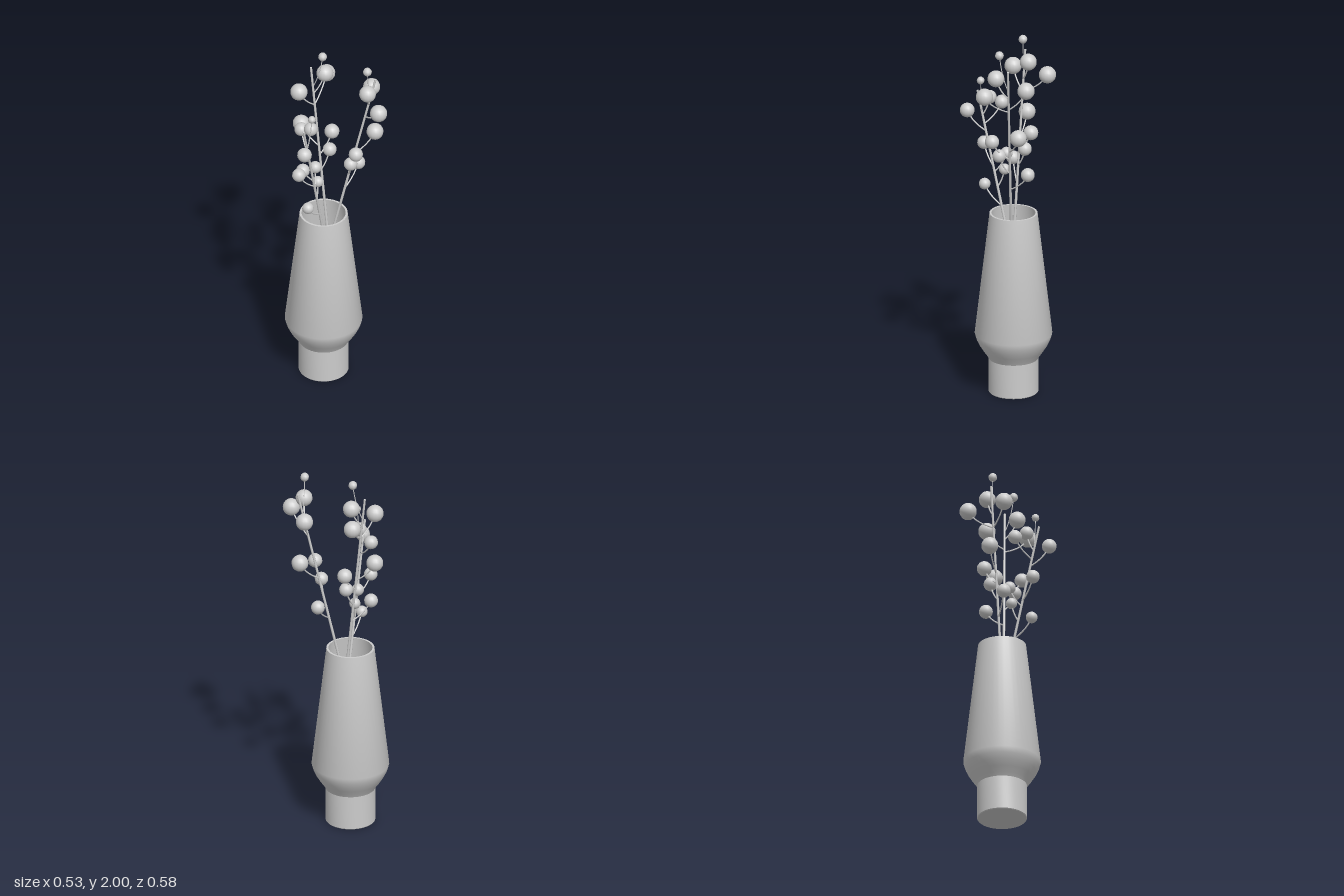
import * as THREE from 'three';
import { toCreasedNormals } from 'three/addons/utils/BufferGeometryUtils.js';

const material = new THREE.MeshStandardMaterial({ color: 0xcccccc });
const up = new THREE.Vector3(0, 1, 0);
const V = (p) => new THREE.Vector3(...p);

function add(parent, name, geometry) {
  const mesh = new THREE.Mesh(geometry, material);
  mesh.name = name;
  parent.add(mesh);
  return mesh;
}

// Each branch: straight stem from foot to tip, and berries as [x, y, z, radius].
const branches = [
  {
    name: 'leftBranch', foot: [0.14, 0.29, -0.075], tip: [-0.19, 1.66, -0.055],
    berries: [
      [-0.118, 1.635, -0.064, 0.037], [-0.097, 1.587, -0.145, 0.037], [-0.23, 1.55, -0.018, 0.039],
      [-0.178, 1.355, -0.097, 0.036], [-0.035, 1.325, -0.1, 0.033], [-0.035, 1.24, -0.082, 0.03],
      [-0.147, 1.14, -0.06, 0.031],
    ],
    bud: [-0.152, 1.73, -0.03, 0.021],
  },
  {
    name: 'backBranch', foot: [0.036, 0.23, 0], tip: [0.03, 1.9, -0.18],
    berries: [
      [0.085, 1.855, -0.13, 0.045], [-0.057, 1.785, -0.192, 0.046], [0.17, 1.785, -0.185, 0.046],
      [0.008, 1.53, -0.228, 0.045], [0.117, 1.47, -0.108, 0.04], [0.085, 1.375, -0.098, 0.037],
      [-0.045, 1.275, -0.175, 0.037],
    ],
    bud: [0.056, 1.98, -0.122, 0.024],
  },
  {
    name: 'frontBranch', foot: [-0.037, 0.25, -0.168], tip: [0.155, 1.9, 0.155],
    berries: [
      [0.081, 1.85, 0.16, 0.045], [0.067, 1.77, 0.245, 0.046], [0.218, 1.785, 0.079, 0.046],
      [0.196, 1.525, 0.119, 0.045], [0.029, 1.47, 0.122, 0.038], [0.043, 1.38, 0.076, 0.036],
      [0.185, 1.285, 0.016, 0.037],
    ],
    bud: [0.095, 1.98, 0.148, 0.024],
  },
];

// Point on a stem at height y
function stemPoint(foot, tip, y) {
  return foot.clone().lerp(tip, (y - foot.y) / (tip.y - foot.y));
}

// Thin twig that leaves the stem sideways, then bends up into the berry
function twig(start, end, radius) {
  const bend = new THREE.Vector3(
    THREE.MathUtils.lerp(start.x, end.x, 0.75),
    THREE.MathUtils.lerp(start.y, end.y, 0.4),
    THREE.MathUtils.lerp(start.z, end.z, 0.75));
  return new THREE.TubeGeometry(new THREE.QuadraticBezierCurve3(start, bend, end), 8, radius, 6);
}

function makeBranch({ name, foot, tip, berries, bud }) {
  const branch = new THREE.Group();
  branch.name = name;
  const a = V(foot), b = V(tip);
  const stem = add(branch, 'stem', new THREE.CylinderGeometry(0.006, 0.008, a.distanceTo(b), 8));
  stem.position.copy(a).lerp(b, 0.5);
  stem.quaternion.setFromUnitVectors(up, b.clone().sub(a).normalize());

  for (const [x, y, z, r] of berries) {
    const centre = new THREE.Vector3(x, y, z);
    const reach = Math.min(0.13, 0.07 + r);
    add(branch, 'twig', twig(stemPoint(a, b, Math.min(y - reach, b.y - 0.05)), centre, 0.004));
    add(branch, 'berry', new THREE.SphereGeometry(r, 16, 12)).position.copy(centre);
  }

  // small bud on a thin shoot near the tip
  const [x, y, z, r] = bud;
  const centre = new THREE.Vector3(x, y, z);
  add(branch, 'shoot', twig(stemPoint(a, b, y - 0.2), centre, 0.0025));
  add(branch, 'bud', new THREE.SphereGeometry(r, 8, 6)).position.copy(centre);
  return branch;
}

function makeVase() {
  // outer wall from the base up, over the lip, then down the inside to the floor
  const profile = [
    [0, 0], [0.129, 0], [0.132, 0.004], [0.132, 0.19], [0.142, 0.208], [0.162, 0.236], [0.182, 0.268],
    [0.196, 0.298], [0.205, 0.33], [0.127, 1.005],
    [0.116, 1.005], [0.193, 0.33], [0.172, 0.268], [0.134, 0.21], [0, 0.21],
  ].map(([r, y]) => new THREE.Vector2(r, y));
  return toCreasedNormals(new THREE.LatheGeometry(profile, 40), 0.42);
}

export function createModel() {
  const model = new THREE.Group();
  model.name = 'vaseWithBerryBranches';
  add(model, 'vase', makeVase()).position.set(0.02, 0, -0.087);
  for (const spec of branches) model.add(makeBranch(spec));
  return model;
}
